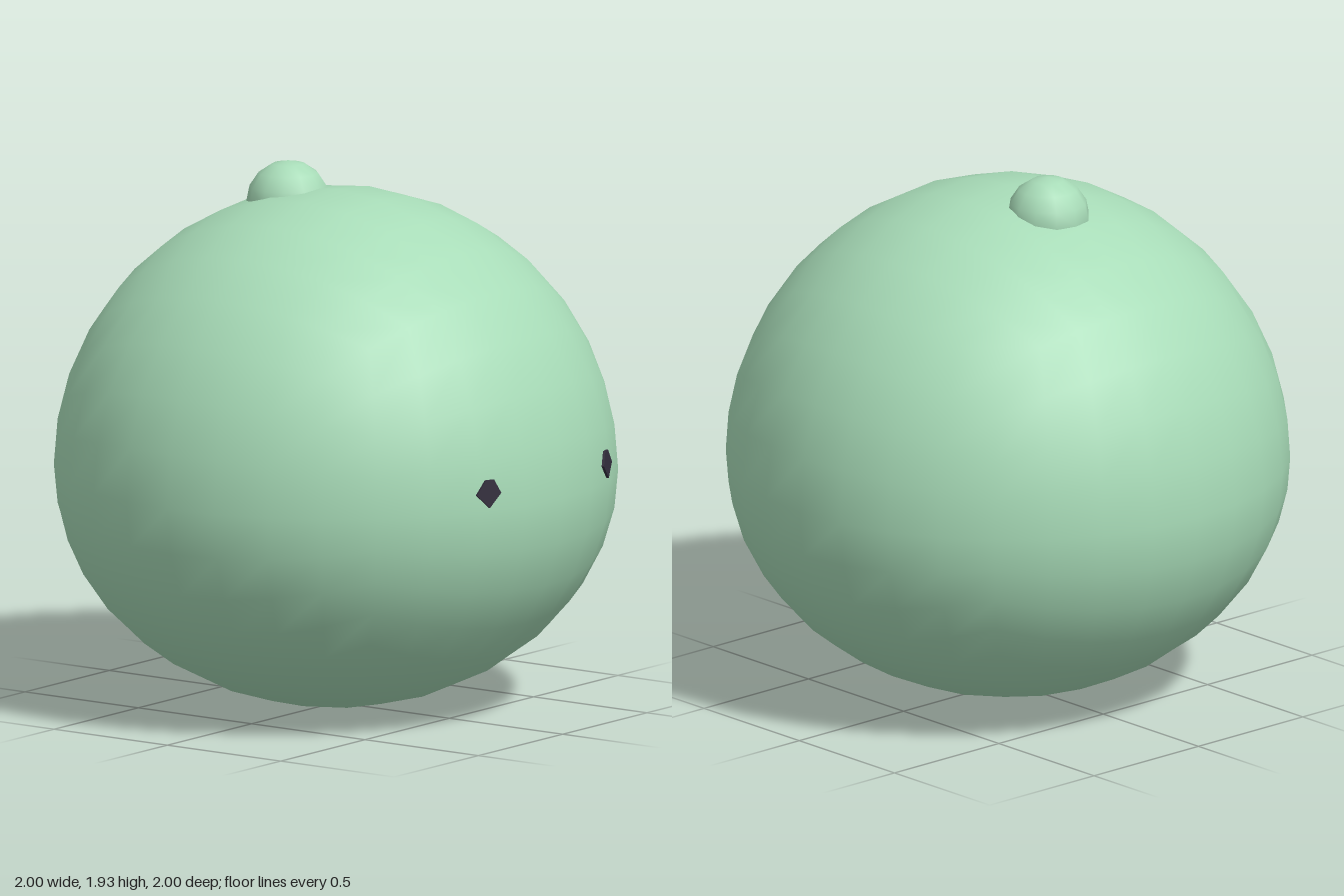
import * as THREE from 'three';

const CENTRE_Y = 0.85;
const SQUASH = 0.85; // the lower half is flatter than the upper half

// Unit sphere made from a gridded cube, with its lower half squashed
function squashedBall() {
  const g = new THREE.BoxGeometry(2, 2, 2, 8, 8, 8);
  const pos = g.attributes.position;
  const nor = g.attributes.normal;
  const v = new THREE.Vector3();
  const even = (t) => Math.tan(t * Math.PI / 4); // equal angles between grid lines
  for (let i = 0; i < pos.count; i++) {
    v.set(even(pos.getX(i)), even(pos.getY(i)), even(pos.getZ(i))).normalize();
    const k = v.y < 0 ? SQUASH : 1;
    pos.setXYZ(i, v.x, v.y * k, v.z);
    v.y /= k;
    v.normalize();
    nor.setXYZ(i, v.x, v.y, v.z);
  }
  return g;
}

// Small five-cornered eye plate, mirrored by side
function eyePlate(side) {
  const corners = [[-0.052, 0], [0, -0.05], [0.05, 0], [0.022, 0.05], [-0.012, 0.05]];
  const shape = new THREE.Shape(corners.map(([x, y]) => new THREE.Vector2(x * side, y)));
  const g = new THREE.ExtrudeGeometry(shape, { depth: 0.009, bevelEnabled: false });
  g.translate(0, 0, -0.009);
  return g;
}

export function createModel() {
  const skin = new THREE.MeshStandardMaterial({ color: 0xa8dcb8 });
  skin.name = 'mint green';
  const dark = new THREE.MeshStandardMaterial({ color: 0x332e3d });
  dark.name = 'dark violet';

  const model = new THREE.Group();
  model.name = 'roundCreature';

  const body = new THREE.Mesh(squashedBall(), skin);
  body.name = 'body';
  body.position.y = CENTRE_Y;
  model.add(body);

  // Knob on top, set behind the middle
  const knob = new THREE.Mesh(new THREE.SphereGeometry(0.15, 12, 8), skin);
  knob.name = 'knob';
  knob.position.set(-0.21, 1.78, 0);
  model.add(knob);

  // Eyes lie on the +x side, tangent to the body
  for (const side of [1, -1]) {
    const eye = new THREE.Mesh(eyePlate(side), dark);
    eye.name = side > 0 ? 'frontEye' : 'backEye';
    const out = new THREE.Vector3(0.935, 0.062, 0.35 * side).normalize();
    eye.position.copy(out).multiplyScalar(1.004);
    eye.position.y += CENTRE_Y;
    eye.lookAt(eye.position.clone().add(out));
    model.add(eye);
  }

  return model;
}
